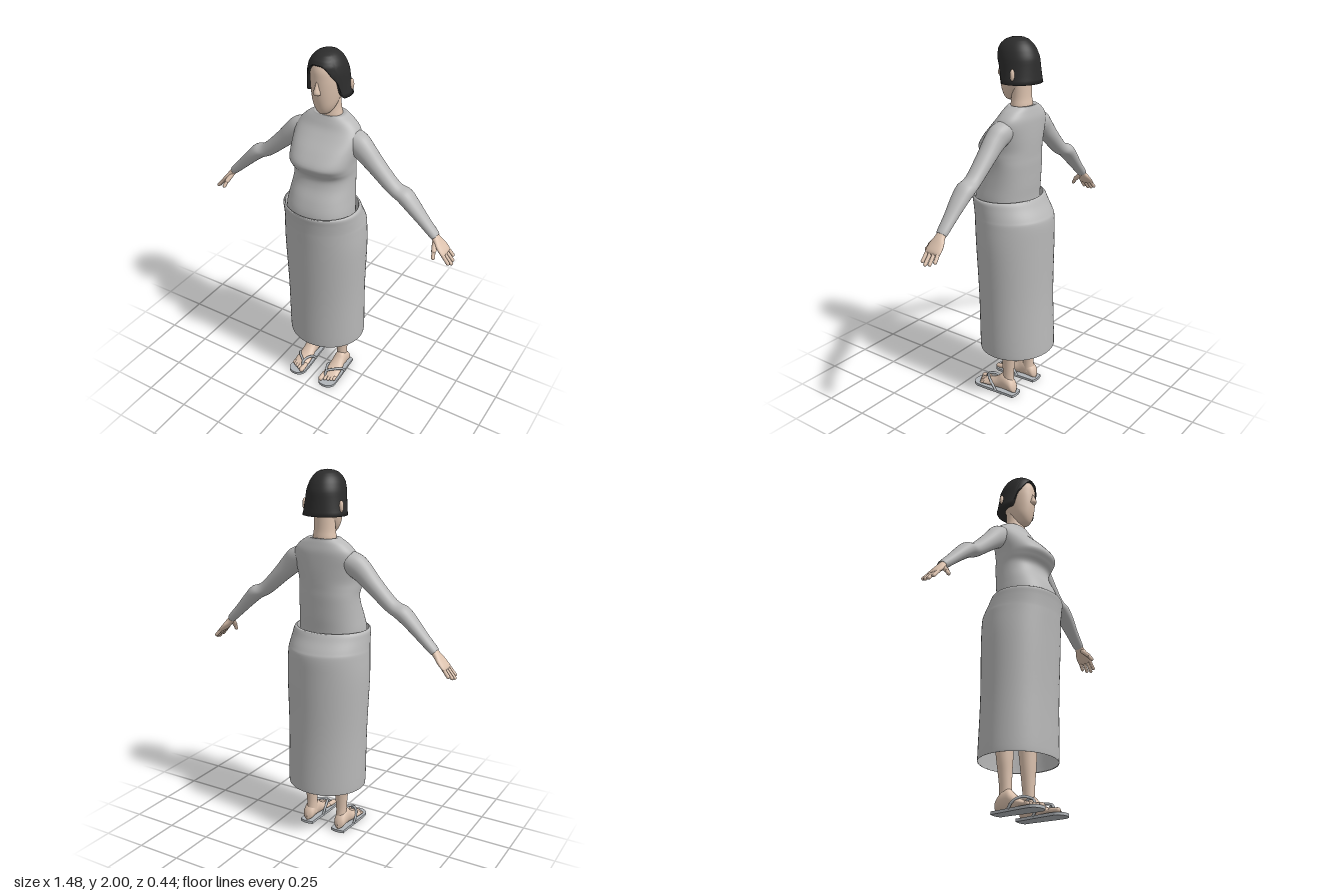
import * as THREE from 'three';

const flat = (color, side = THREE.FrontSide) => new THREE.MeshStandardMaterial({ color, side });

// Catmull-Rom subdivision of rows of numbers
function smoothRows(rows, sub) {
  const out = [], at = i => rows[Math.max(0, Math.min(rows.length - 1, i))];
  for (let i = 0; i < rows.length - 1; i++)
    for (let k = 0; k < sub; k++) {
      const t = k / sub;
      out.push(rows[i].map((b, n) => {
        const a = at(i - 1)[n], c = at(i + 1)[n], d = at(i + 2)[n];
        return b + 0.5 * t * (c - a + t * (2 * a - 5 * b + 4 * c - d + t * (3 * (b - c) + d - a)));
      }));
    }
  out.push(rows[rows.length - 1]);
  return out;
}

// Skin closed rings; place(row, cos, sin) gives each point
function loft(rows, place, sub = 5, seg = 40) {
  const pos = [], idx = [], rings = smoothRows(rows, sub);
  rings.forEach((row, i) => {
    for (let j = 0; j < seg; j++) {
      const a = j / seg * Math.PI * 2;
      pos.push(...place(row, Math.cos(a), Math.sin(a)));
      if (i === rings.length - 1) continue;
      const p = i * seg + j, q = i * seg + (j + 1) % seg;
      idx.push(p, p + seg, q, q, p + seg, q + seg);
    }
  });
  const g = new THREE.BufferGeometry();
  g.setAttribute('position', new THREE.Float32BufferAttribute(pos, 3));
  g.setIndex(idx);
  g.computeVertexNormals();
  return g;
}

// Level ring: row = [y, half width, back z, front z, centre x]
const level = ([y, w, zb, zf, cx = 0], c, s) =>
  [cx + Math.max(w, 0) * c, y, (zb + zf) / 2 + (zf - zb) / 2 * s];
const sq = v => Math.sign(v) * Math.abs(v) ** 0.85;
const boxy = (row, c, s) => level(row, sq(c), sq(s));

export function createModel() {
  const root = new THREE.Group();
  const skin = flat(0xdcc2ae);
  const cloth = flat(0xb8b8b8, THREE.DoubleSide);
  const hairColor = flat(0x2c2c2c, THREE.DoubleSide);
  const sandalColor = flat(0xb0b4b8);
  skin.name = 'skin'; cloth.name = 'grey cloth';
  hairColor.name = 'dark hair'; sandalColor.name = 'sandal grey';

  const add = (name, geo, mat, parent = root) => {
    const m = new THREE.Mesh(geo, mat);
    m.name = name;
    parent.add(m);
    return m;
  };
  const limb = (name, a, b, r, parent) => {
    const p = new THREE.Vector3(...a), q = new THREE.Vector3(...b), d = q.clone().sub(p);
    const m = add(name, new THREE.CapsuleGeometry(r, d.length(), 5, 10), skin, parent);
    m.position.copy(p).add(q).multiplyScalar(0.5);
    m.quaternion.setFromUnitVectors(new THREE.Vector3(0, 1, 0), d.normalize());
  };

  // Skirt: open tube with a rolled waistband
  add('skirt', loft([
    [0.28, 0.215, -0.212, 0.188], [0.31, 0.22, -0.213, 0.192], [0.6, 0.222, -0.2, 0.195],
    [0.9, 0.231, -0.2, 0.208], [1.04, 0.226, -0.2, 0.217], [1.08, 0.222, -0.188, 0.22],
    [1.13, 0.217, -0.158, 0.226], [1.16, 0.214, -0.142, 0.231], [1.17, 0.206, -0.134, 0.228],
    [1.155, 0.197, -0.125, 0.221], [1.0, 0.197, -0.15, 0.2]], level, 5, 56), cloth);

  // Blouse
  add('blouse', loft([
    [1.0, 0.17, -0.1, 0.18], [1.1, 0.18, -0.1, 0.205], [1.17, 0.18, -0.102, 0.208],
    [1.24, 0.172, -0.108, 0.185], [1.31, 0.165, -0.112, 0.15], [1.36, 0.163, -0.115, 0.142],
    [1.4, 0.166, -0.116, 0.17], [1.44, 0.169, -0.118, 0.19], [1.5, 0.176, -0.12, 0.148],
    [1.56, 0.18, -0.12, 0.09], [1.6, 0.166, -0.118, 0.055], [1.635, 0.132, -0.11, 0.036],
    [1.655, 0.1, -0.104, 0.026], [1.663, 0.08, -0.1, 0.02], [1.655, 0.05, -0.075, 0.0]], boxy, 5, 56), cloth);

  // Neck and head
  add('neck', loft([[1.6, 0.07, -0.09, 0.02], [1.66, 0.064, -0.09, 0.018], [1.71, 0.057, -0.085, 0.015],
    [1.82, 0.056, -0.085, 0.015]], level), skin);
  add('head', loft([[1.676, 0, 0.02, 0.04], [1.684, 0.028, -0.01, 0.056], [1.705, 0.046, -0.035, 0.069],
    [1.735, 0.06, -0.06, 0.079], [1.775, 0.07, -0.09, 0.087], [1.82, 0.076, -0.1, 0.091],
    [1.87, 0.079, -0.1, 0.091], [1.92, 0.074, -0.095, 0.086], [1.96, 0.055, -0.07, 0.06],
    [1.98, 0, -0.01, 0]], level), skin);
  add('nose', loft([[1.794, 0, 0.08, 0.088], [1.799, 0.017, 0.07, 0.106], [1.81, 0.019, 0.07, 0.113],
    [1.83, 0.013, 0.07, 0.107], [1.865, 0.006, 0.07, 0.092]], level, 3, 12), skin);

  // Bobbed hair: hem is high over the forehead and low round the sides and back
  const shape = [[2, 0, -0.01, -0.01], [1.995, 0.032, -0.045, 0.027], [1.985, 0.053, -0.07, 0.055],
    [1.965, 0.073, -0.092, 0.08], [1.94, 0.088, -0.11, 0.094], [1.9, 0.1, -0.127, 0.096],
    [1.85, 0.106, -0.131, 0.088], [1.8, 0.113, -0.136, 0.08], [1.77, 0.12, -0.14, 0.075]];
  const profile = y => {
    const i = Math.max(1, shape.findIndex(r => r[0] <= y + 1e-9));
    const a = shape[i - 1], b = shape[i], t = (y - a[0]) / (b[0] - a[0]);
    return a.map((v, n) => v + (b[n] - v) * t);
  };
  const { smoothstep } = THREE.MathUtils;
  const hairRows = [[0.97, 0.55], [1, 0.8]];
  for (let i = 20; i >= 0; i--) hairRows.push([i / 20, 1]);
  add('hair', loft(hairRows, ([t, k], c, s) => {
    const hem = 1.775 + 0.095 * smoothstep(s, 0.45, 0.62) + 0.075 * smoothstep(s, 0.6, 1);
    const [y, w, zb, zf] = profile(2 - (2 - hem) * t * t);
    const mid = (zb + zf) / 2;
    return level([y, w * k, mid + (zb - mid) * k, mid + (zf - mid) * k], c, s);
  }, 1, 72), hairColor);

  for (const s of [1, -1]) {
    const side = s > 0 ? 'left' : 'right';

    // Ear showing through the hair
    const ear = add(side + 'Ear', new THREE.SphereGeometry(1, 14, 10), skin);
    ear.scale.set(0.012, 0.03, 0.012);
    ear.position.set(s * 0.108, 1.825, -0.055);

    // Sleeve and palm: rings square to the slanting arm, row = [x, y, thickness, depth, z]
    const slant = ([x, y, r1, r2, z], c, n) =>
      [s * (x + 0.7 * r1 * c), y + 0.71 * r1 * c, z - s * r2 * n];
    add(side + 'Sleeve', loft([
      [0.09, 1.575, 0.05, 0.055, -0.03], [0.16, 1.538, 0.066, 0.06, -0.025], [0.215, 1.498, 0.058, 0.055, -0.02],
      [0.28, 1.437, 0.047, 0.05, -0.02], [0.38, 1.347, 0.039, 0.045, -0.02], [0.44, 1.318, 0.042, 0.052, -0.022],
      [0.49, 1.275, 0.037, 0.048, -0.02], [0.56, 1.205, 0.029, 0.037, -0.02], [0.625, 1.142, 0.023, 0.03, -0.02],
      [0.622, 1.145, 0.015, 0.02, -0.02]], slant, 5, 28), cloth);
    const hand = new THREE.Group();
    hand.name = side + 'Hand';
    root.add(hand);
    add('palm', loft([[0.605, 1.16, 0.018, 0.024, -0.02], [0.635, 1.128, 0.018, 0.029, -0.018],
      [0.66, 1.1, 0.016, 0.043, -0.018], [0.69, 1.068, 0.012, 0.046, -0.018],
      [0.7, 1.058, 0, 0.03, -0.018]], slant, 4, 20), skin, hand);
    [-0.055, -0.03, -0.005, 0.018].forEach((z, i) => {
      const e = [0.717, 0.728, 0.732, 0.724][i];
      limb('finger', [s * 0.682, 1.075, z * 0.9], [s * e, 1.075 - (e - 0.682) * 1.15, z], 0.0095, hand);
    });
    limb('thumb', [s * 0.635, 1.115, 0.0], [s * 0.648, 1.085, 0.032], 0.013, hand);
    limb('thumbTip', [s * 0.648, 1.085, 0.032], [s * 0.655, 1.057, 0.052], 0.01, hand);

    // Leg
    add(side + 'Leg', loft([[0.05, 0.03, -0.055, 0.015, s * 0.097], [0.12, 0.029, -0.05, 0.015, s * 0.097],
      [0.2, 0.035, -0.057, 0.016, s * 0.098], [0.28, 0.044, -0.065, 0.02, s * 0.1],
      [0.4, 0.05, -0.075, 0.025, s * 0.1], [0.55, 0.052, -0.06, 0.04, s * 0.1],
      [0.8, 0.075, -0.08, 0.07, s * 0.1], [1.0, 0.085, -0.09, 0.09, s * 0.095]], level, 4, 28), skin);

    // Foot with toes, row = [z, half width, top y]
    const foot = new THREE.Group();
    foot.name = side + 'Foot';
    foot.position.x = s * 0.102;
    root.add(foot);
    add('footBody', loft([[0.155, 0, 0.03], [0.15, 0.038, 0.034], [0.12, 0.046, 0.047], [0.08, 0.044, 0.066],
      [0.04, 0.039, 0.095], [0.01, 0.035, 0.122], [-0.03, 0.034, 0.11], [-0.06, 0.028, 0.075],
      [-0.072, 0, 0.04]], ([z, w, top], c, n) =>
      [w * c, 0.014 + (top - 0.014) * (n + 1) / 2, z], 4, 24), skin, foot);
    [-0.034, -0.011, 0.007, 0.023, 0.037].forEach((x, i) =>
      limb('toe', [s * x, 0.03, 0.135], [s * x, 0.026, 0.178 - i * 0.008], i ? 0.009 : 0.014, foot));

    // Sandal: flat sole and a forked strap
    const outline = new THREE.Shape();
    outline.moveTo(-0.04, 0.075);
    outline.quadraticCurveTo(0, 0.09, 0.04, 0.075);
    outline.bezierCurveTo(0.04, 0, 0.054, -0.08, 0.053, -0.17);
    outline.quadraticCurveTo(0.04, -0.207, 0, -0.207);
    outline.quadraticCurveTo(-0.04, -0.207, -0.053, -0.17);
    outline.bezierCurveTo(-0.054, -0.08, -0.04, 0, -0.04, 0.075);
    const sole = new THREE.ExtrudeGeometry(outline, { depth: 0.015, bevelEnabled: false, curveSegments: 10 });
    sole.rotateX(-Math.PI / 2);
    add('sole', sole, sandalColor, foot);
    for (const k of [1, -1]) {
      const path = new THREE.CatmullRomCurve3([[-0.022 * s, 0.02, 0.15], [-0.021 * s, 0.056, 0.138],
        [k * 0.03 - 0.006 * s, 0.066, 0.1], [k * 0.045, 0.044, 0.06], [k * 0.046, 0.012, 0.035]]
        .map(p => new THREE.Vector3(...p)));
      add('strap', new THREE.TubeGeometry(path, 20, 0.007, 8), sandalColor, foot);
    }
  }
  return root;
}
